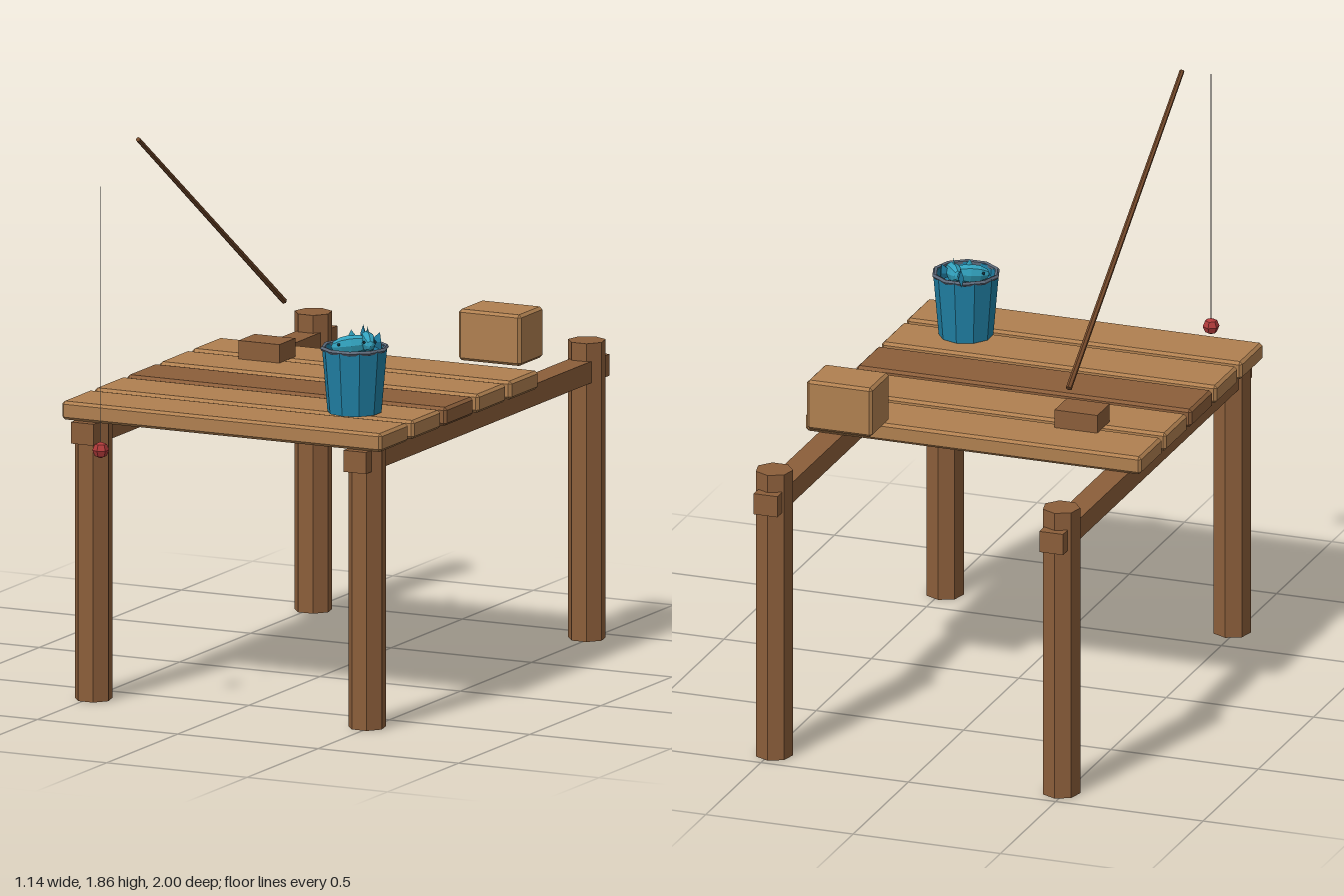
import * as THREE from 'three';
import { ConvexGeometry } from 'three/addons/geometries/ConvexGeometry.js';

const material = (name, color) => {
  const m = new THREE.MeshStandardMaterial({ color });
  m.name = name;
  return m;
};

// Facet a geometry so every face has its own normal
function faceted(geometry) {
  const g = geometry.index ? geometry.toNonIndexed() : geometry;
  g.computeVertexNormals();
  return g;
}

// Box with all edges cut by a small chamfer
function chamferBox(w, h, d, c) {
  const points = [];
  for (const x of [-1, 1]) for (const y of [-1, 1]) for (const z of [-1, 1]) {
    const X = x * w / 2, Y = y * h / 2, Z = z * d / 2;
    points.push(
      new THREE.Vector3(X, Y - y * c, Z - z * c),
      new THREE.Vector3(X - x * c, Y, Z - z * c),
      new THREE.Vector3(X - x * c, Y - y * c, Z));
  }
  return new ConvexGeometry(points);
}

export function createModel() {
  const model = new THREE.Group();
  model.name = 'fishingDock';

  const lightWood = material('light wood', 0xb08050);
  const midWood = material('mid wood', 0x8b5e3a);
  const darkWood = material('dark wood', 0x74492a);
  const bucketBlue = material('bucket blue', 0x2080a4);
  const rimGrey = material('rim grey', 0x5c6878);
  const fishBlue = material('fish blue', 0x32a2be);
  const eyeDark = material('eye dark', 0x12303c);
  const lineGrey = material('line grey', 0x909090);
  const floatRed = material('float red', 0xb03a3a);

  function add(name, geometry, mat, x = 0, y = 0, z = 0, parent = model) {
    const mesh = new THREE.Mesh(geometry, mat);
    mesh.name = name;
    mesh.position.set(x, y, z);
    parent.add(mesh);
    return mesh;
  }

  // Seven-sided posts and the side beams that join them
  const postGeometry = faceted(new THREE.CylinderGeometry(0.061, 0.061, 0.968, 7).rotateY(Math.PI));
  const beamGeometry = new THREE.BoxGeometry(0.08, 0.07, 1.714);
  for (const x of [-0.487, 0.487]) {
    add('frontPost', postGeometry, midWood, x, 0.484, 0.631);
    add('backPost', postGeometry, midWood, x, 0.484, -0.915);
    add('sideBeam', beamGeometry, midWood, x * 0.995, 0.875, -0.143);
  }

  // Deck planks, the middle one darker
  const plankGeometry = chamferBox(1.138, 0.06, 0.198, 0.009);
  for (let i = 0; i < 5; i++) {
    add('plank', plankGeometry, i === 2 ? midWood : lightWood, 0, 0.94, -0.317 + i * 0.2285);
  }

  // Crate and tackle box
  add('crate', chamferBox(0.222, 0.166, 0.164, 0.009), lightWood, 0.397, 1.061, -0.487);
  add('tackleBox', new THREE.BoxGeometry(0.145, 0.06, 0.113), midWood, -0.29, 1, -0.2);

  // Fishing rod, laid between its two ends
  const butt = new THREE.Vector3(-0.288, 1.133, -0.316);
  const tip = new THREE.Vector3(-0.288, 1.849, 0.71);
  const along = tip.clone().sub(butt);
  const rod = add('fishingRod', faceted(new THREE.CylinderGeometry(0.008, 0.01, along.length(), 6)), darkWood);
  rod.position.copy(butt).lerp(tip, 0.5);
  rod.quaternion.setFromUnitVectors(new THREE.Vector3(0, 1, 0), along.normalize());

  // Line and float
  add('fishingLine', new THREE.CylinderGeometry(0.0015, 0.0015, 0.854, 5), lineGrey, -0.288, 1.318, 0.973);
  add('float', faceted(new THREE.SphereGeometry(0.027, 6, 4).rotateY(Math.PI / 6)), floatRed, -0.288, 0.89, 0.973);

  // Bucket: outer wall, inner wall and filled surface in one profile
  const bucket = new THREE.Group();
  bucket.name = 'bucket';
  bucket.position.set(0.339, 0.97, 0.427);
  model.add(bucket);
  const profile = [[0, 0.002], [0.087, 0.002], [0.105, 0.212], [0.097, 0.212], [0.094, 0.18], [0, 0.18]];
  add('bucketBody', faceted(new THREE.LatheGeometry(profile.map(p => new THREE.Vector2(...p)), 10)), bucketBlue, 0, 0, 0, bucket);
  const rim = new THREE.TorusGeometry(0.103, 0.008, 5, 10).rotateX(-Math.PI / 2);
  add('bucketRim', faceted(rim), rimGrey, 0, 0.21, 0, bucket);

  // Fish, built with the head toward +x
  function addFish(x, y, z, length, yaw, pitch) {
    const fish = new THREE.Group();
    fish.name = 'fish';
    fish.position.set(x, y, z);
    fish.rotation.set(0, yaw, pitch, 'YZX');
    bucket.add(fish);
    const h = length / 2;
    const body = new THREE.SphereGeometry(1, 8, 6).rotateZ(Math.PI / 2).scale(h, 0.032, 0.024);
    add('fishBody', faceted(body), fishBlue, 0, 0, 0, fish);
    const tail = new THREE.ConeGeometry(0.03, 0.045, 4).rotateZ(-Math.PI / 2).scale(1, 1, 0.3);
    add('fishTail', faceted(tail), bucketBlue, -h - 0.008, 0, 0, fish);
    const fin = new THREE.ConeGeometry(0.018, 0.03, 4).scale(1, 1, 0.3);
    add('fishFin', faceted(fin), fishBlue, -0.005, 0.034, 0, fish);
    for (const side of [-1, 1]) {
      add('fishEye', new THREE.SphereGeometry(0.005, 6, 4), eyeDark, h * 0.62, 0.008, side * 0.018, fish);
    }
  }
  addFish(-0.018, 0.215, -0.012, 0.13, Math.atan2(-0.085, -0.14), -0.1);
  addFish(0.026, 0.224, -0.042, 0.11, Math.atan2(-0.08, 0.06), -0.1);

  return model;
}
